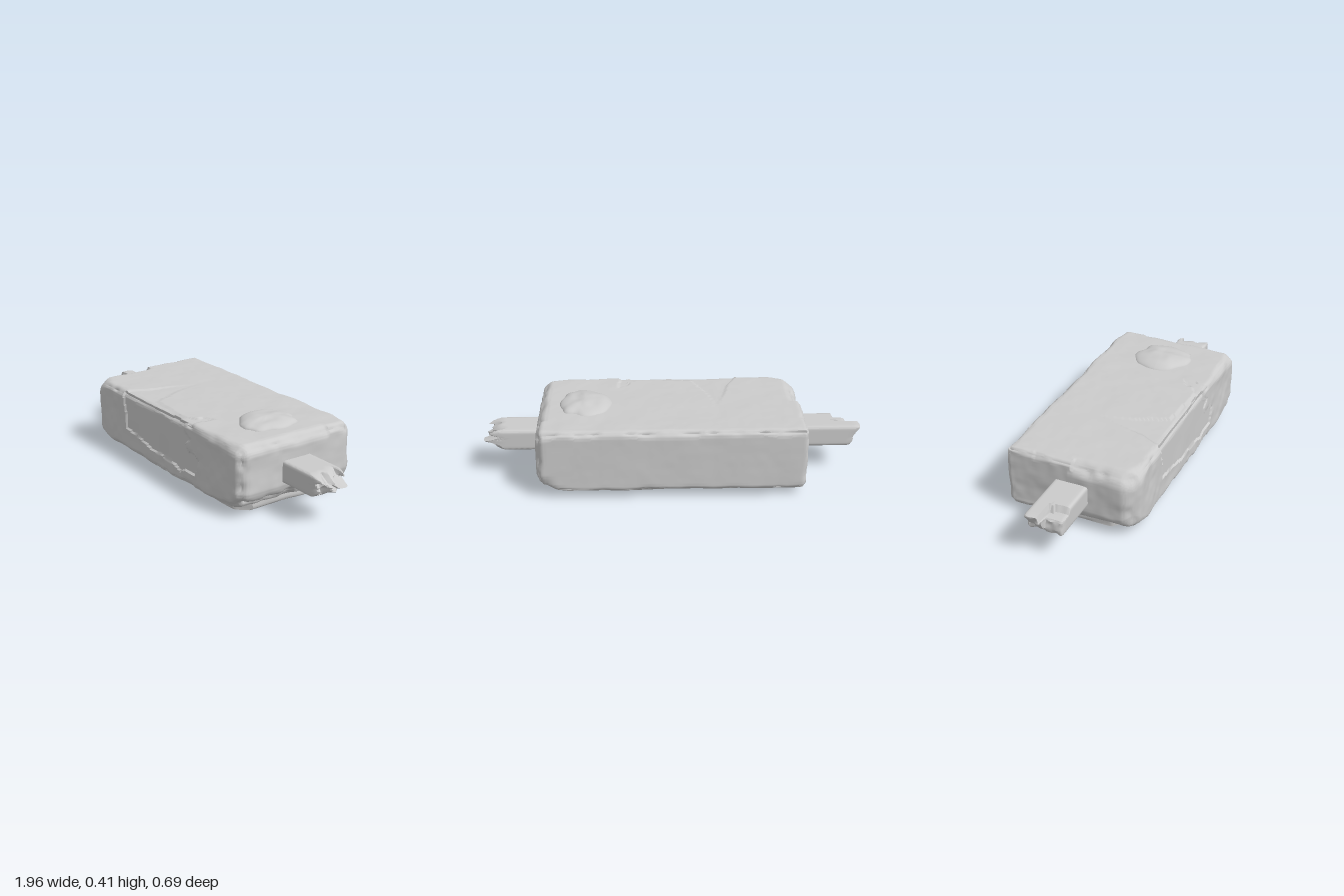
import * as THREE from 'three';
import { mergeVertices, toCreasedNormals } from 'three/addons/utils/BufferGeometryUtils.js';

const { clamp, lerp, smoothstep } = THREE.MathUtils;

// Smooth value noise in 0..1
function hash(x, y, z) {
  const s = Math.sin(x * 127.1 + y * 311.7 + z * 74.7) * 43758.5453;
  return s - Math.floor(s);
}
function noise(x, y, z) {
  const i = [x, y, z].map(Math.floor);
  const [u, v, w] = [x - i[0], y - i[1], z - i[2]].map(t => t * t * (3 - 2 * t));
  const row = (b, c) => lerp(hash(i[0], i[1] + b, i[2] + c), hash(i[0] + 1, i[1] + b, i[2] + c), u);
  return lerp(lerp(row(0, 0), row(1, 0), v), lerp(row(0, 1), row(1, 1), v), w);
}

// Box with rounded edges; radius(p) sets the rounding, deform(p, n) moves each point
function carvedBox(min, max, segments, radius, deform, crease = 0.7) {
  const lo = new THREE.Vector3(...min), hi = new THREE.Vector3(...max);
  const size = hi.clone().sub(lo), mid = hi.clone().add(lo).multiplyScalar(0.5);
  let geo = new THREE.BoxGeometry(size.x, size.y, size.z, ...segments);
  geo.translate(mid.x, mid.y, mid.z);
  geo.deleteAttribute('uv');
  geo.deleteAttribute('normal');
  geo = mergeVertices(geo, 1e-5);
  const pos = geo.attributes.position;
  const p = new THREE.Vector3(), core = new THREE.Vector3(), n = new THREE.Vector3();
  for (let i = 0; i < pos.count; i++) {
    p.fromBufferAttribute(pos, i);
    const r = radius(p);
    core.copy(p).clamp(lo.clone().addScalar(r), hi.clone().subScalar(r));
    n.copy(p).sub(core).normalize();
    p.copy(core).addScaledVector(n, r);
    deform(p, n);
    pos.setXYZ(i, p.x, p.y, p.z);
  }
  return toCreasedNormals(geo, crease);
}

// Even-odd test against a ragged outline
function inside(x, y, outline) {
  let hit = false;
  outline.forEach(([ax, ay], i) => {
    const [bx, by] = outline[(i + 1) % outline.length];
    if ((ay > y) !== (by > y) && x < ax + (bx - ax) * (y - ay) / (by - ay)) hit = !hit;
  });
  return hit;
}

// Area of the front face where the outer crust has broken away
const brokenFront = [
  [-0.38, 0.5], [-0.37, 0.32], [-0.35, 0.25], [-0.35, 0.17], [-0.25, 0.155], [-0.14, 0.14], [-0.1, 0.125],
  [0.05, 0.12], [0.12, 0.115], [0.17, 0.095], [0.22, 0.12], [0.3, 0.12], [0.33, 0.2],
  [0.28, 0.23], [0.24, 0.22], [0.21, 0.26], [0.26, 0.29], [0.2, 0.32], [0.23, 0.5],
];
// Shallow broken strip that carries on over the top
const brokenTop = [
  [-0.37, 0.6], [-0.36, 0.3], [-0.31, 0.2], [-0.29, 0.1], [-0.24, -0.05], [-0.2, 0.12], [-0.12, 0.28],
  [0.0, 0.29], [0.15, 0.3], [0.22, 0.26], [0.21, 0.23], [0.27, 0.19], [0.26, 0.3], [0.25, 0.6],
];

function bodyRadius(p) {
  let r = 0.028 + 0.03 * noise(p.x * 9, p.y * 9, p.z * 9);
  if (p.z > 0 && p.x < 0) r += 0.05 * smoothstep(-p.x, 0.5, 0.66);
  if (p.x > 0.5) r += 0.025 * smoothstep(p.x, 0.5, 0.66);
  if (p.z < -0.2) r *= 0.75;
  return r;
}

function bodyDeform(p, n) {
  const edge = 1 - Math.max(Math.abs(n.x), Math.abs(n.y), Math.abs(n.z));
  const x = p.x, y = p.y, z = p.z;
  const coarse = noise(x * 8 + 5, y * 8, z * 8), fine = noise(x * 24, y * 24 + 7, z * 24);
  const flat = 1 - 0.75 * Math.max(Math.abs(n.y), -n.z, 0);
  let cut = flat * (0.014 * coarse + 0.005 * fine) + edge * 0.07 * coarse * fine;
  // worn lower corner on the left end
  cut += 0.05 * smoothstep(x, 0.56, 0.68) * (1 - smoothstep(y, 0.04, 0.14)) * (0.5 + fine * 0.5);
  if (n.z > 0.4 && inside(x, y, brokenFront)) cut = 0.016 + 0.004 * coarse;
  if (n.y > 0.8 && inside(x, z, brokenTop)) cut += 0.006 * smoothstep(z, -0.05, 0.25) + 0.001;
  p.addScaledVector(n, -cut);
}

// Broken beam: each end is a ragged surface x = end(y, z)
function beamDeform(p) {
  const { y, z } = p;
  const v = (y - 0.15) / 0.11, w = (z + 0.085) / 0.175; // 0..1 across the section
  const side = Math.sign(p.x), t = smoothstep(Math.abs(p.x), 0.6, 1);
  const k = clamp((Math.abs(p.x) - 0.6) / 0.4, 0, 1);
  const splinter = noise(y * 45 + 3, z * 38, side * 4);
  if (side < 0) {
    const end = w < 0.45 ? lerp(0.945, 1, v) : 0.955 - 0.02 * v;
    p.x = -lerp(Math.min(0.6, -p.x), end - 0.025 * splinter * (1 - v * 0.6), k);
    // split-off splinter on the upper front
    if (p.x < -0.88 + 0.04 * (w - 0.5) && w > 0.42 && v > 0.6) p.y -= 0.03 * (v - 0.6) / 0.4;
  } else if (side > 0) {
    const end = 1 - 0.1 * Math.abs(v - 0.52) - 0.1 * splinter;
    p.x = lerp(Math.min(0.6, p.x), end, k);
    const worn = smoothstep(p.x, 0.87, 1);
    p.y = lerp(p.y, 0.2, worn * (0.25 + 0.25 * noise(p.x * 30, z * 30, 2)));
    p.z = lerp(p.z, 0.005, worn * 0.25);
    if (w < 0.4) p.y -= t * 0.02 * worn * v;
  }
}

export function createModel() {
  const group = new THREE.Group();
  const material = new THREE.MeshStandardMaterial({ color: 0xcccccc });
  const add = (name, geometry) => {
    const mesh = new THREE.Mesh(geometry, material);
    mesh.name = name;
    group.add(mesh);
  };

  // Weathered block
  add('stoneBlock', carvedBox([-0.692, 0.037, -0.347], [0.685, 0.374, 0.347], [150, 40, 76], bodyRadius, bodyDeform));

  // Thin footing under the block
  add('baseSlab', carvedBox([-0.63, 0, -0.285], [0.6, 0.08, 0.292], [80, 6, 40],
    p => 0.012 + 0.02 * noise(p.x * 7, 1, p.z * 7),
    (p, n) => {
      const out = 0.018 * noise(p.x * 10, p.y * 10, p.z * 10);
      p.x -= n.x * out;
      p.z -= n.z * out;
      // clipped plan corners and a slight taper toward the ground
      const over = Math.max(0, Math.abs(p.x) + Math.abs(p.z) - 0.8);
      p.x -= Math.sign(p.x) * over * 0.5;
      p.z -= Math.sign(p.z) * over * 0.5;
      p.z *= 0.97 + 0.03 * smoothstep(p.y, 0, 0.05);
      p.y += Math.max(0, -n.y) * (0.004 * noise(p.x * 6, 0, p.z * 6) + 0.006 * smoothstep(-p.x, 0, 0.6));
    }));

  // Timber running through the block, broken at both ends
  add('beam', carvedBox([-1, 0.148, -0.085], [1, 0.26, 0.091], [90, 12, 18], () => 0.014, beamDeform, 0.5));

  // Ragged lump of crust on top
  const lump = new THREE.SphereGeometry(1, 48, 24, 0, Math.PI * 2, 0, Math.PI / 2);
  const pos = lump.attributes.position;
  for (let i = 0; i < pos.count; i++) {
    const x = pos.getX(i), y = pos.getY(i), z = pos.getZ(i), a = Math.atan2(z, x);
    const ragged = 0.84 + 0.28 * noise(Math.cos(a) * 2.5 + 9, 0, Math.sin(a) * 2.5 + 4);
    const bump = 0.85 + 0.3 * noise(x * 3, 5, z * 3);
    pos.setXYZ(i, 0.435 + x * 0.135 * ragged, 0.362 + 0.04 * Math.pow(Math.max(y, 0), 0.8) * bump, 0.005 + z * 0.16 * ragged);
  }
  lump.computeVertexNormals();
  add('topCrust', lump);

  return group;
}
